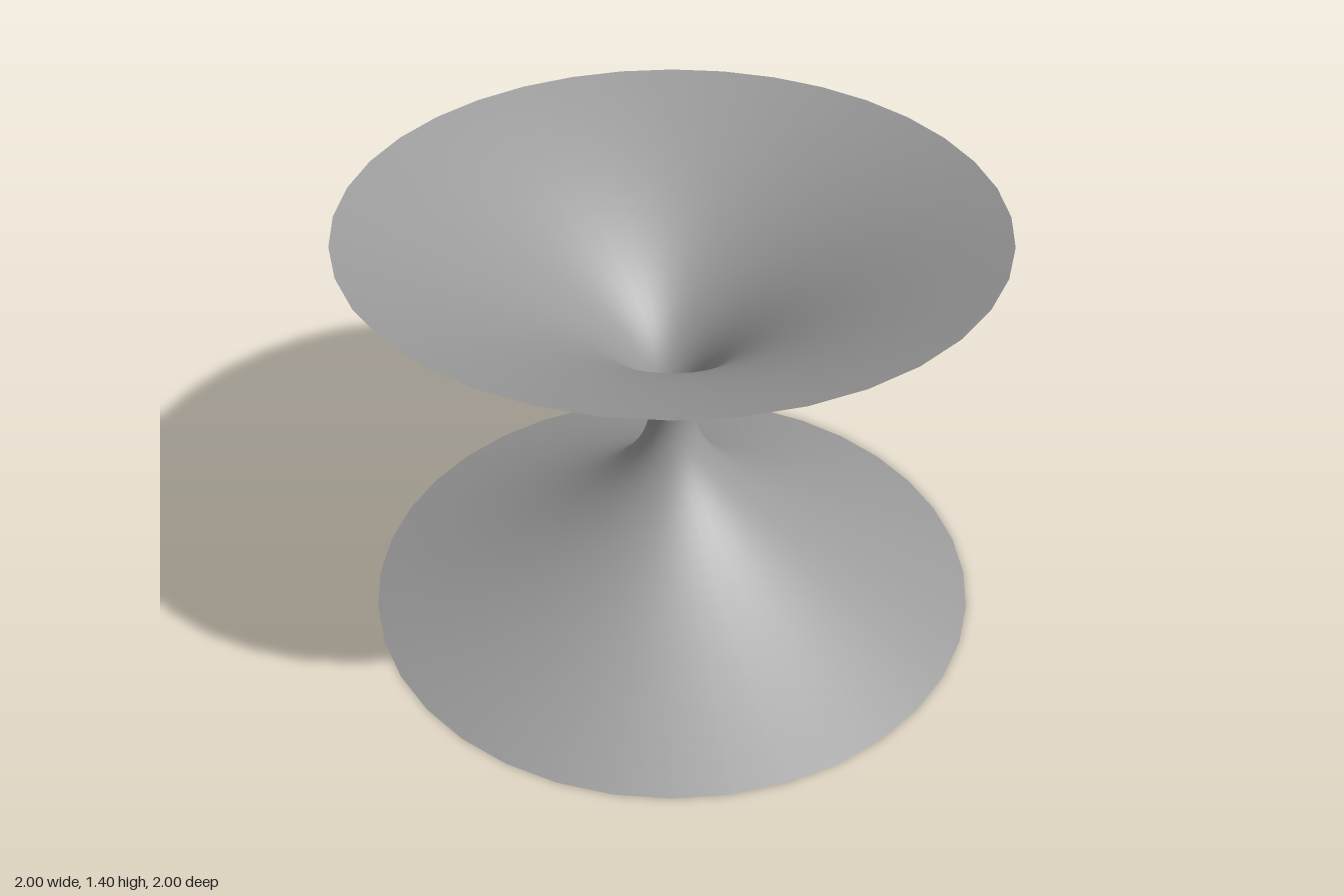
import * as THREE from 'three';

const HEIGHT = 1.4;
const RIM = 1;
const WAIST = 0.073;

export function createModel() {
  const group = new THREE.Group();

  // Parabolic profile: narrow waist at mid height, wide rims at both ends
  const profile = [];
  const steps = 48;
  for (let i = 0; i <= steps; i++) {
    const t = (i / steps) * 2 - 1;
    profile.push(new THREE.Vector2(WAIST + (RIM - WAIST) * t * t, (HEIGHT / 2) * (1 + t)));
  }

  // Open, thin surface of revolution, visible from inside and outside
  const surface = new THREE.Mesh(
    new THREE.LatheGeometry(profile, 36),
    new THREE.MeshStandardMaterial({ color: 0x9a9a9a, side: THREE.DoubleSide })
  );
  surface.name = 'flaredSurface';
  group.add(surface);

  return group;
}
